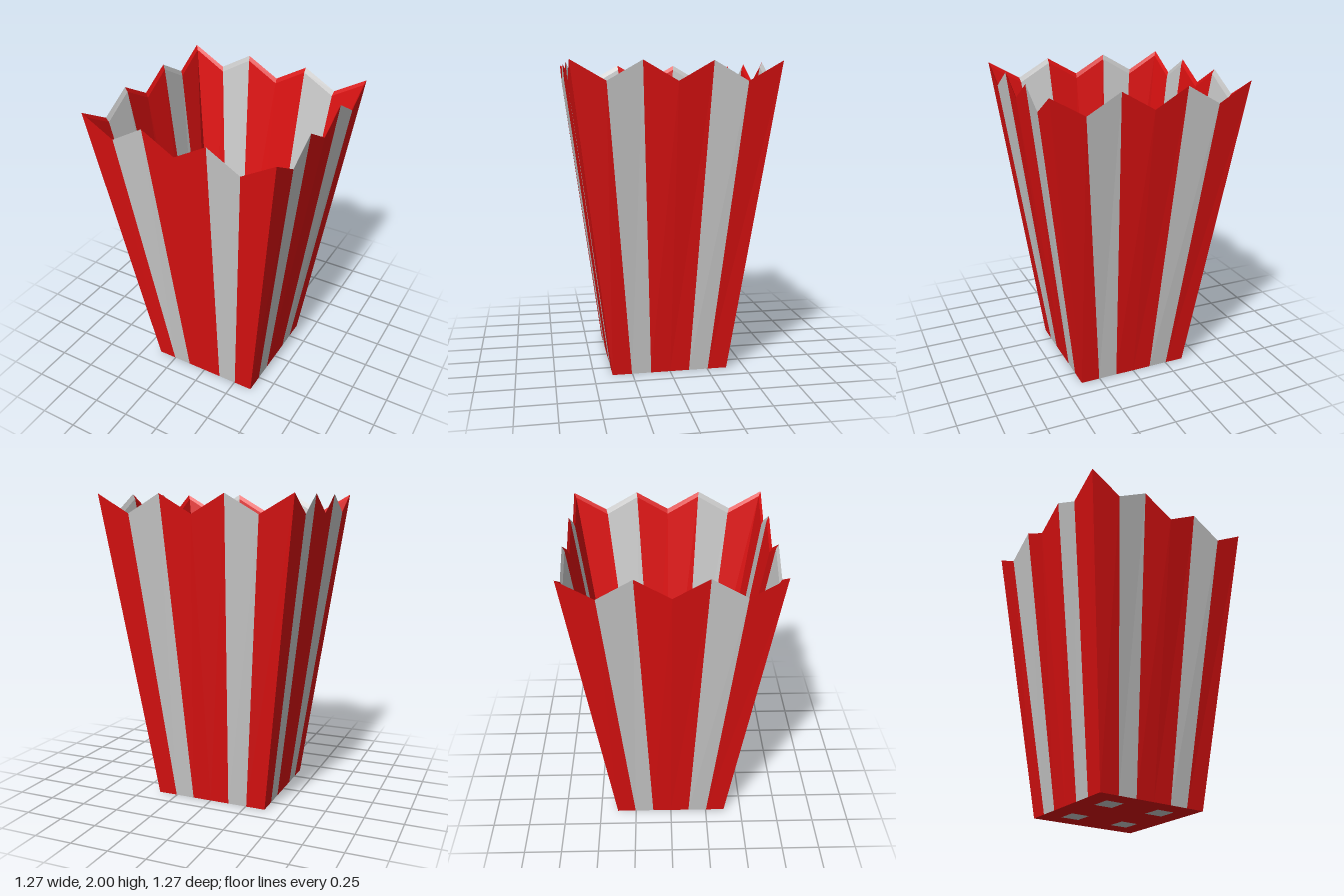
import * as THREE from 'three';

const RED = 0xdd1111, GREY = 0xcccccc;

// Every ring is a 6 x 6 grid outline; i and j run from -3 to 3 along x and z.
const zigzag = (i, j) => ((Math.abs(i) === 3 ? j : i) % 2 === 0 ? 1.88 : 2);
const outerBase = (i, j) => [i * 0.38 / 3, 0, j * 0.38 / 3];
const outerRim = (i, j) => [i * 0.633 / 3, zigzag(i, j), j * 0.633 / 3];
const innerRim = (i, j) => [i * 0.62 / 3, zigzag(i, j) - 0.03, j * 0.62 / 3];
// The floor reaches slightly further out along the back edge
const innerBase = (i, j) => (j === -3
  ? [i * 0.125, 0.04, -0.375]
  : [i * 0.114, 0.04, j * 0.114]);

// Quarter turns of a grid position about the y axis
function turn(i, j, k) {
  for (; k > 0; k--) [i, j] = [j, -i];
  return [i, j];
}

// Mesh from quads whose corners run anticlockwise as seen from outside
function quadMesh(name, quads, color) {
  const geometry = new THREE.BufferGeometry();
  const positions = quads.flatMap(([a, b, c, d]) => [a, b, c, a, c, d].flat());
  geometry.setAttribute('position', new THREE.Float32BufferAttribute(positions, 3));
  geometry.computeVertexNormals();
  const mesh = new THREE.Mesh(geometry, new THREE.MeshStandardMaterial({ color, flatShading: true }));
  mesh.name = name;
  return mesh;
}

export function createModel() {
  const group = new THREE.Group();
  group.name = 'stripedBox';

  // Four striped walls: outside, inside and the sloping zigzag rim
  ['front', 'right', 'back', 'left'].forEach((side, n) => {
    const wall = new THREE.Group();
    wall.name = side + 'Wall';
    const k = [0, 3, 2, 1][n];
    const stripes = { red: [], grey: [] };
    for (let s = -3; s < 3; s++) {
      const p = turn(s, 3, k), q = turn(s + 1, 3, k);
      stripes[s === -2 || s === 1 ? 'grey' : 'red'].push(
        [outerBase(...p), outerBase(...q), outerRim(...q), outerRim(...p)],
        [outerRim(...p), outerRim(...q), innerRim(...q), innerRim(...p)],
        [innerRim(...p), innerRim(...q), innerBase(...q), innerBase(...p)],
      );
    }
    wall.add(quadMesh(side + 'RedStripes', stripes.red, RED));
    wall.add(quadMesh(side + 'GreyStripes', stripes.grey, GREY));
    group.add(wall);
  });

  // Plain floor inside, red underside with four grey squares
  const floor = [], underside = [], squares = [];
  const isGrey = (i) => i === -2 || i === 1;
  for (let i = -3; i < 3; i++) {
    for (let j = -3; j < 3; j++) {
      floor.push([innerBase(i, j), innerBase(i, j + 1), innerBase(i + 1, j + 1), innerBase(i + 1, j)]);
      (isGrey(i) && isGrey(j) ? squares : underside).push(
        [outerBase(i, j), outerBase(i + 1, j), outerBase(i + 1, j + 1), outerBase(i, j + 1)]);
    }
  }
  group.add(quadMesh('floor', floor, GREY));
  group.add(quadMesh('underside', underside, RED));
  group.add(quadMesh('undersideSquares', squares, GREY));
  return group;
}
